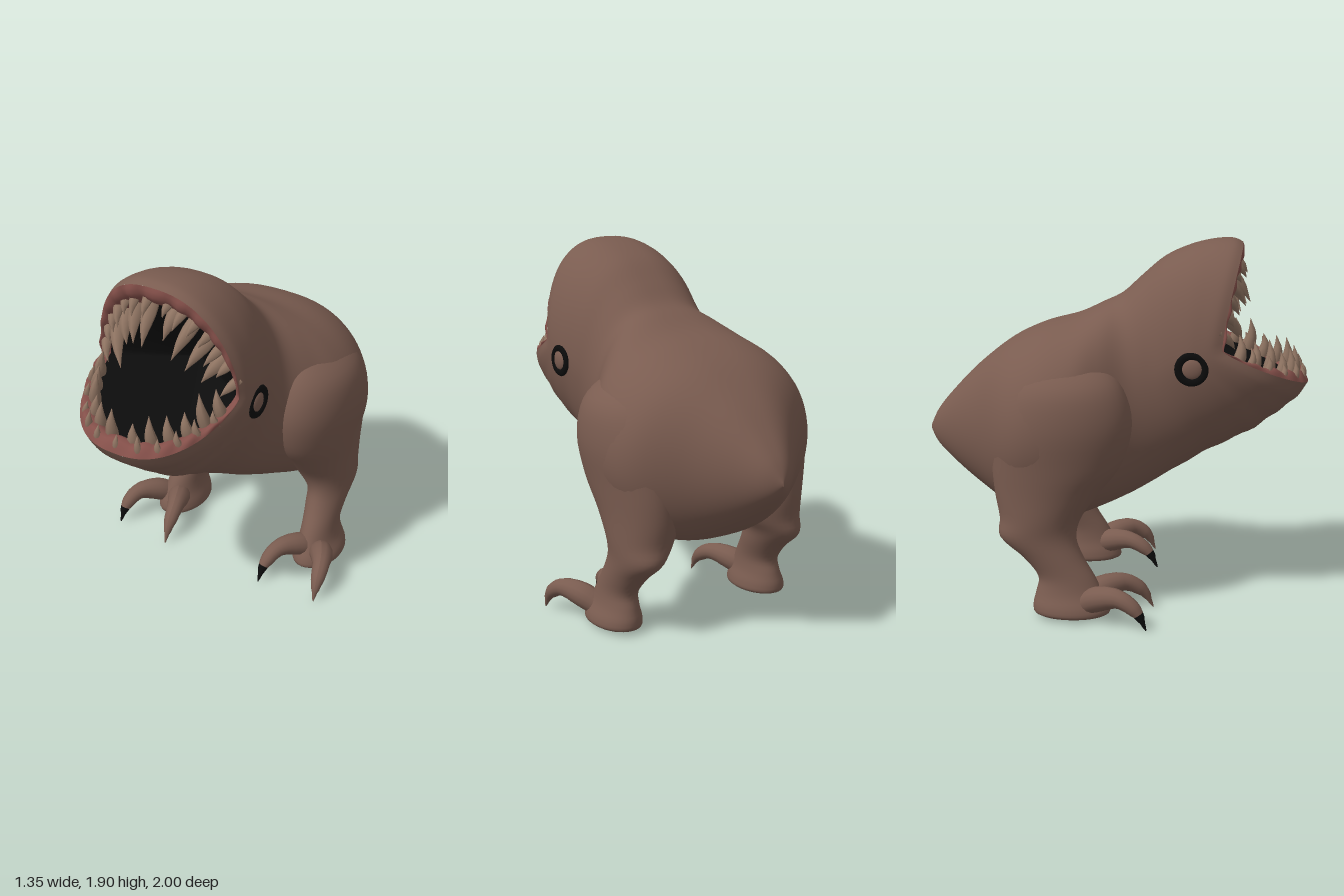
import * as THREE from 'three';

const mat = (name, color) => Object.assign(new THREE.MeshStandardMaterial({ color }), { name });

// Catmull-Rom resampling of a table of rows, column by column
function resample(rows, steps) {
  const out = [], last = rows.length - 1;
  const row = i => rows[Math.min(last, Math.max(0, i))];
  for (let n = 0; n <= last * steps; n++) {
    const i = Math.min(last - 1, Math.floor(n / steps)), t = n / steps - i;
    out.push(row(i).map((b, k) => {
      const a = row(i - 1)[k], c = row(i + 1)[k], d = row(i + 2)[k];
      return b + 0.5 * t * (c - a + t * (2 * a - 5 * b + 4 * c - d + t * (3 * (b - c) + d - a)));
    }));
  }
  return out;
}

// Smooth skin over a list of closed rings; point(ring, angle, index) gives a Vector3
function loft(rings, sides, point) {
  const pos = [], idx = [];
  rings.forEach((r, i) => {
    for (let j = 0; j < sides; j++) {
      pos.push(...point(r, j / sides * Math.PI * 2, i).toArray());
      if (i === rings.length - 1) continue;
      const a = i * sides + j, b = i * sides + (j + 1) % sides;
      idx.push(a, a + sides, b, b, a + sides, b + sides);
    }
  });
  const g = new THREE.BufferGeometry();
  g.setAttribute('position', new THREE.Float32BufferAttribute(pos, 3));
  g.setIndex(idx);
  g.computeVertexNormals();
  return g;
}

// Curved horn: a tube whose radius follows a list of radii
function horn(points, radii, segs, sides) {
  const curve = new THREE.CatmullRomCurve3(points);
  const g = new THREE.TubeGeometry(curve, segs, 1, sides);
  const rs = resample(radii.map(r => [r]), 8);
  const p = g.attributes.position, v = new THREE.Vector3();
  for (let i = 0; i <= segs; i++) {
    const c = curve.getPointAt(i / segs);
    const r = Math.max(0.001, rs[Math.round(i / segs * (rs.length - 1))][0]);
    for (let j = 0; j <= sides; j++) {
      const k = i * (sides + 1) + j;
      v.fromBufferAttribute(p, k).sub(c).multiplyScalar(r).add(c);
      p.setXYZ(k, v.x, v.y, v.z);
    }
  }
  g.computeVertexNormals();
  return g;
}

// Body sections, tail to lips: top z,y, bottom z,y, half width, side bend z,y
const BODY = [
  [-1.0, 0.9, -1.0, 0.88, 0.005, 0, 0],
  [-0.95, 1.0, -0.95, 0.80, 0.09, 0, 0],
  [-0.85, 1.12, -0.83, 0.69, 0.20, 0, 0],
  [-0.72, 1.25, -0.68, 0.58, 0.34, 0, 0],
  [-0.55, 1.38, -0.52, 0.49, 0.53, 0, 0],
  [-0.38, 1.46, -0.38, 0.46, 0.595, 0, 0],
  [-0.20, 1.51, -0.22, 0.45, 0.58, 0, 0],
  [-0.07, 1.57, -0.08, 0.49, 0.49, 0, 0],
  [0.03, 1.62, 0.10, 0.57, 0.40, 0, 0],
  [0.13, 1.71, 0.30, 0.69, 0.38, -0.04, 0],
  [0.25, 1.81, 0.50, 0.81, 0.40, -0.10, -0.04],
  [0.38, 1.87, 0.70, 0.91, 0.42, -0.17, -0.08],
  [0.50, 1.90, 0.84, 1.01, 0.425, -0.24, -0.12],
  [0.60, 1.905, 0.95, 1.10, 0.425, -0.28, -0.14],
  [0.65, 1.885, 1.0, 1.175, 0.41, -0.28, -0.15],
];

function bodyPoint([tz, ty, bz, by, w, dz, dy], a) {
  const c = Math.cos(a), s = Math.sin(a), bend = 1 - Math.abs(c) ** 1.15;
  return new THREE.Vector3(
    w * Math.sign(s) * Math.abs(s) ** 0.8,
    (ty + by) / 2 + (ty - by) / 2 * c + dy * bend,
    (tz + bz) / 2 + (tz - bz) / 2 * c + dz * bend);
}

// Point in the mouth: s = 0 on the lips, s = 1 at the throat
const THROAT = new THREE.Vector3(0, 1.36, 0.28);
const mouthPoint = (s, a) =>
  bodyPoint(BODY[BODY.length - 1], a).lerp(THROAT, s);

// Leg sections, hip to sole: y, centre x, centre z, radius x, radius z
const LEG = [
  [1.34, 0.34, -0.24, 0.01, 0.02],
  [1.29, 0.36, -0.24, 0.11, 0.20],
  [1.18, 0.38, -0.24, 0.20, 0.30],
  [1.00, 0.39, -0.25, 0.22, 0.35],
  [0.80, 0.39, -0.28, 0.195, 0.33],
  [0.65, 0.385, -0.33, 0.18, 0.27],
  [0.52, 0.40, -0.365, 0.155, 0.21],
  [0.42, 0.43, -0.375, 0.115, 0.195],
  [0.32, 0.44, -0.30, 0.10, 0.155],
  [0.22, 0.45, -0.23, 0.09, 0.145],
  [0.14, 0.455, -0.215, 0.10, 0.17],
  [0.07, 0.46, -0.205, 0.125, 0.195],
  [0.025, 0.46, -0.20, 0.115, 0.175],
  [0.015, 0.46, -0.20, 0.002, 0.002],
];

export function createModel() {
  const group = new THREE.Group();
  const skin = mat('skin', 0x7a5c50), gum = mat('gums', 0x85504a);
  const tooth = mat('teeth', 0x8f7462), dark = mat('black', 0x0c0c0c);
  const add = (name, geo, material) => {
    const m = new THREE.Mesh(geo, material);
    m.name = name;
    group.add(m);
    return m;
  };

  // Body and head, with shallow folds under the jaw
  const rings = resample(BODY, 5);
  add('body', loft(rings, 72, (r, a, i) => {
    const p = bodyPoint(r, a);
    const fade = i > 42 ? Math.sin((i - 42) / 28 * Math.PI) : 0;
    const under = Math.max(0, -Math.cos(a));
    p.y += 0.005 * fade * under * Math.sin(i * 1.4 + 2 * Math.cos(2 * a));
    return p;
  }), skin);

  // Swollen, lumpy gums and the black mouth cavity
  const inset = a => (0.195 + 0.055 * Math.cos(a)) * (1 - 0.55 * Math.sin(a) ** 8);
  add('gums', loft([0, 0.15, 0.35, 0.55, 0.8, 1], 120, (k, a) => {
    const p = mouthPoint(k * inset(a), a), c = Math.cos(a);
    const lump = Math.sin(k * Math.PI) * (0.036 + 0.009 * Math.cos(a * 22));
    p.x *= 1 + 1.2 * lump;
    p.y += lump * Math.max(0, -c) * 1.3;
    p.z += lump * (0.6 + 0.4 * c);
    return p;
  }), gum);
  add('mouthCavity', loft([0, 0.5, 0.99], 120, (k, a) =>
    mouthPoint(inset(a) + (1 - inset(a)) * k, a)), dark);

  // Rows of teeth: name, count, start angle, end angle, depth share, length, radius, forward lean
  const rows = [
    ['upperOuterTooth', 14, -1.4, 1.4, 0.55, 0.115, 0.024, 0.75],
    ['upperInnerTooth', 8, -1.1, 1.1, 0.95, 0.22, 0.034, 0.6],
    ['lowerInnerTooth', 12, 1.85, 4.43, 0.85, 0.165, 0.029, 0.05],
    ['lowerOuterTooth', 11, 1.95, 4.33, 0.4, 0.095, 0.021, 0.1],
  ];
  for (const [name, n, a0, a1, depth, len, rad, lean] of rows) {
    for (let i = 0; i < n; i++) {
      const a = a0 + (a1 - a0) * i / (n - 1);
      const size = len * (0.88 + 0.16 * Math.sin(i * 2.3 + n));
      const base = mouthPoint(depth * inset(a), a);
      const dir = Math.cos(a) > 0
        ? new THREE.Vector3(-base.x * 1.6, -0.8, lean)
        : new THREE.Vector3(-base.x * 0.6, 1, lean);
      dir.normalize();
      const mid = base.clone().addScaledVector(dir, size * 0.5);
      mid.z += 0.014;
      add(name, horn([base.clone().addScaledVector(dir, -0.025), mid,
        base.clone().addScaledVector(dir, size)],
      [rad, rad * 1.05, rad * 0.65, 0.001], 6, 8), tooth);
    }
  }

  for (const s of [1, -1]) {
    const side = s > 0 ? 'left' : 'right';

    // Eye set in a flat black rim
    const rim = add(side + 'EyeRim', new THREE.TorusGeometry(0.066, 0.02, 10, 32), dark);
    rim.position.set(s * 0.417, 1.29, 0.395);
    rim.rotation.y = s * Math.PI / 2;
    rim.scale.z = 0.6;
    const eye = add(side + 'Eye', new THREE.SphereGeometry(0.055, 24, 16), skin);
    eye.position.set(s * 0.412, 1.29, 0.4);
    eye.scale.x = 0.4;

    // Thigh, shank and foot in one skin
    add(side + 'Leg', loft(resample(LEG, 4), 36, ([y, cx, cz, rx, rz], a) =>
      new THREE.Vector3(s * cx + rx * Math.sin(a), y, cz + rz * Math.cos(a))), skin);

    // Two hooked claws per foot, one black at the tip; the inner one reaches further
    for (const d of [1, -1]) {
      const reach = d === s ? 0.93 : 1.05;
      const path = [[0.02, 0.09, -0.14], [0.08, 0.14, -0.05], [0.135, 0.155, 0.06],
        [0.16, 0.1, 0.15], [0.168, 0.01, 0.2]]
        .map(([x, y, z]) => new THREE.Vector3(s * 0.482 + d * x, y, z * reach));
      const geo = horn(path, [0.06, 0.064, 0.048, 0.034, 0.003], 20, 14);
      const ring = 14 * 6;
      geo.addGroup(0, 16 * ring, 0);
      geo.addGroup(16 * ring, 4 * ring, 1);
      add(side + 'Claw', geo, [skin, d < 0 ? dark : skin]);
    }
  }
  return group;
}
